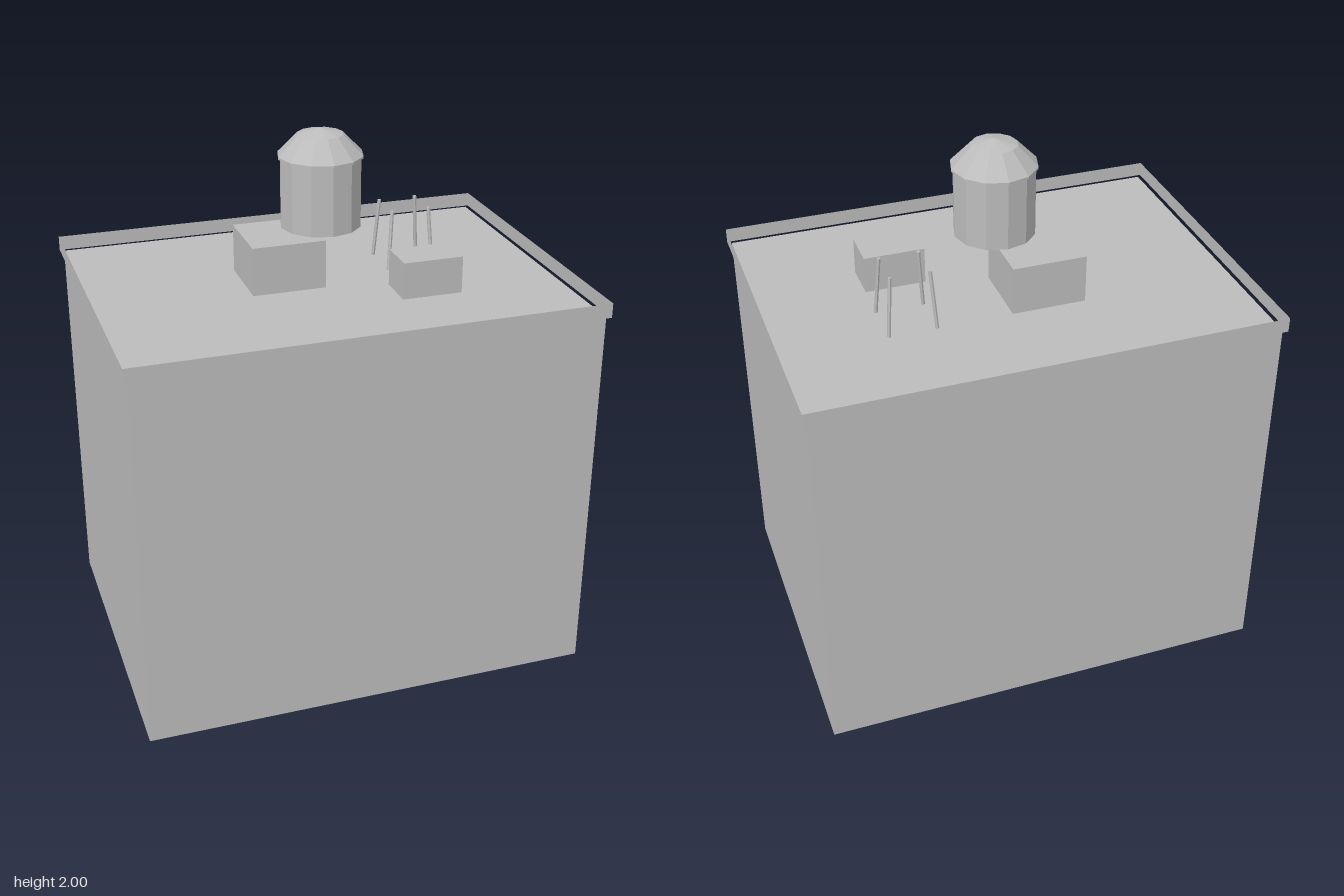
import * as THREE from 'three';

const grey = new THREE.MeshStandardMaterial({ color: 0xbcbcbc, side: THREE.DoubleSide, flatShading: true });
grey.name = 'concrete grey';

function part(name, geometry, parent) {
  const mesh = new THREE.Mesh(geometry, grey);
  mesh.name = name;
  parent.add(mesh);
  return mesh;
}

// Four upright sheets around a rectangle, open above and below
function sheetRing(name, hx, hz, y0, y1, parent) {
  const ring = new THREE.Group();
  ring.name = name;
  for (let i = 0; i < 4; i++) {
    const [half, out] = i % 2 ? [hz, hx] : [hx, hz];
    const g = new THREE.PlaneGeometry(half * 2, y1 - y0);
    g.translate(0, (y0 + y1) / 2, out);
    g.rotateY(i * Math.PI / 2);
    part(name + 'Side', g, ring);
  }
  parent.add(ring);
}

// Box given by its extents
function block(name, x0, x1, y0, y1, z0, z1, parent) {
  const mesh = part(name, new THREE.BoxGeometry(x1 - x0, y1 - y0, z1 - z0), parent);
  mesh.position.set((x0 + x1) / 2, (y0 + y1) / 2, (z0 + z1) / 2);
}

export function createModel() {
  const model = new THREE.Group();
  model.name = 'building';
  const roofY = 1.42;

  // Hollow building shell, open underneath
  sheetRing('wall', 0.84, 0.617, 0, roofY, model);
  const roof = part('roof', new THREE.PlaneGeometry(1.68, 1.234).rotateX(-Math.PI / 2), model);
  roof.position.y = roofY;

  // Thin parapet standing just outside the walls
  sheetRing('parapet', 0.855, 0.63, roofY, 1.474, model);

  // Rooftop housings
  block('stairHousing', -0.27, 0.003, roofY, 1.6, -0.21, 0.056, model);
  block('ventHousing', 0.229, 0.453, roofY, 1.557, 0.102, 0.252, model);

  // Water tank with a faceted domed lid
  const tank = part('waterTank', new THREE.CylinderGeometry(0.147, 0.147, 0.255, 12), model);
  tank.position.y = 1.7725;
  const lidProfile = [[0.147, 1.897], [0.155, 1.897], [0.155, 1.905], [0.083, 1.979], [0, 2]]
    .map(([r, y]) => new THREE.Vector2(r, y));
  part('tankLid', new THREE.LatheGeometry(lidProfile, 12), model);

  // Four splayed stand legs
  const up = new THREE.Vector3(0, 1, 0);
  for (const sx of [-1, 1]) for (const sz of [-1, 1]) {
    const foot = new THREE.Vector3(0.368 + sx * 0.087, roofY, -0.125 + sz * 0.085);
    const head = new THREE.Vector3(0.368 + sx * 0.071, 1.643, -0.125 + sz * 0.069);
    const axis = head.clone().sub(foot);
    const leg = part('standLeg', new THREE.CylinderGeometry(0.007, 0.007, axis.length(), 6), model);
    leg.position.copy(foot).add(head).multiplyScalar(0.5);
    leg.quaternion.setFromUnitVectors(up, axis.normalize());
  }
  return model;
}
